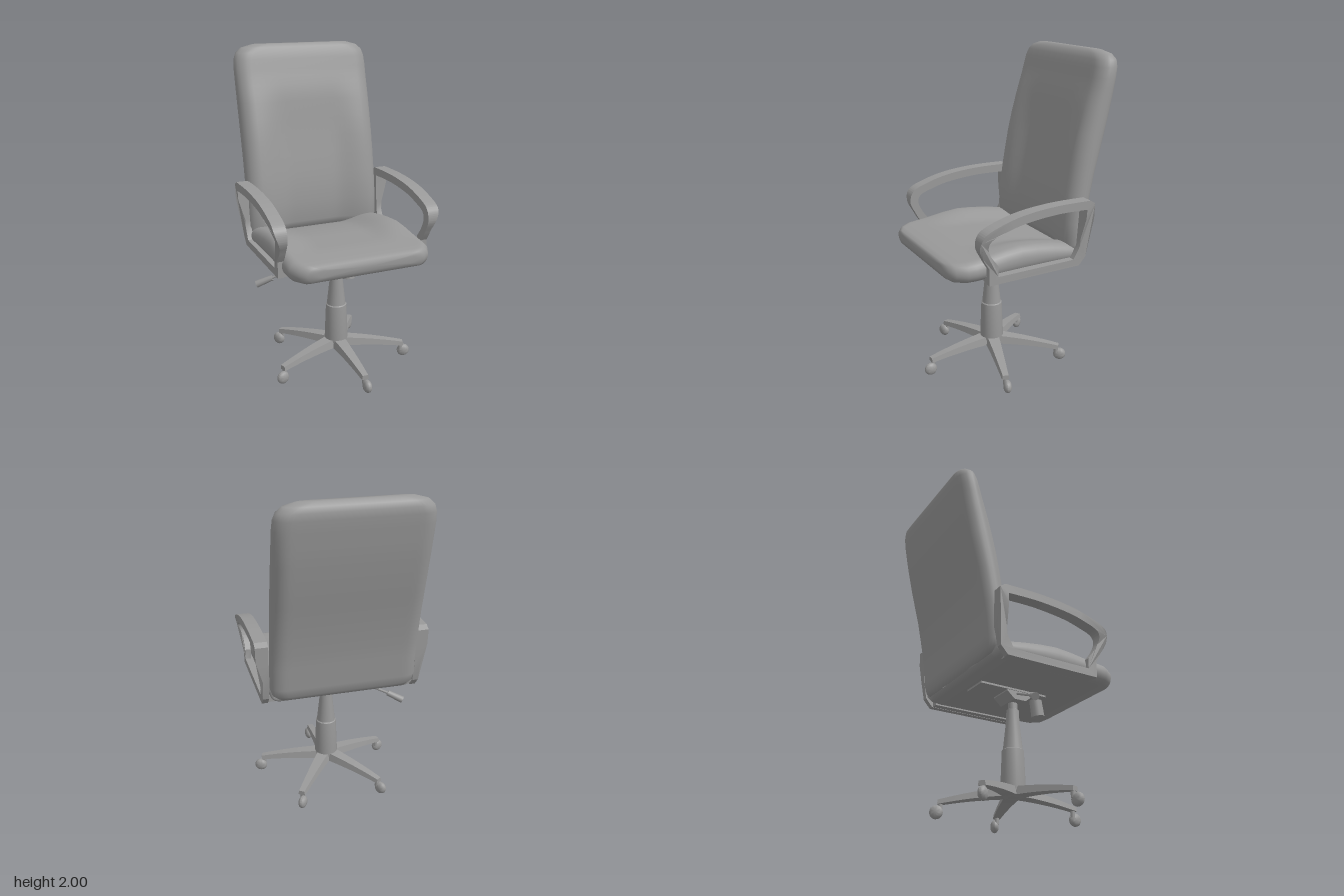
import * as THREE from 'three';
import { toCreasedNormals } from 'three/addons/utils/BufferGeometryUtils.js';

const material = new THREE.MeshStandardMaterial({ color: 0x999999, side: THREE.DoubleSide });

function add(parent, name, geometry) {
  const mesh = new THREE.Mesh(geometry, material);
  mesh.name = name;
  parent.add(mesh);
  return mesh;
}

const lathe = (points, sides = 24) =>
  toCreasedNormals(new THREE.LatheGeometry(points.map(([r, y]) => new THREE.Vector2(r, y)), sides), 0.6);

// Cylinder running from point a to point b
function rod(parent, name, a, b, ra, rb, sides = 16) {
  const from = new THREE.Vector3(...a), to = new THREE.Vector3(...b);
  const dir = to.clone().sub(from);
  const mesh = add(parent, name, new THREE.CylinderGeometry(rb, ra, dir.length(), sides));
  mesh.position.copy(from).add(to).multiplyScalar(0.5);
  mesh.quaternion.setFromUnitVectors(new THREE.Vector3(0, 1, 0), dir.normalize());
  return mesh;
}

// Padded cushion: rows are [station, low, high, halfWidth]; dish(x, station) sinks the high side
function cushion(rows, rx, dish, place) {
  const pos = [], index = [], arc = 6, flat = 24;
  for (const [t, lo, hi, w] of rows) {
    const mid = (lo + hi) / 2, h = (hi - lo) / 2, inner = w - rx;
    const put = (x, d) => pos.push(...place(x, d, t));
    const high = (x, d) => put(x, d - dish(x, t));
    for (let i = 0; i < arc; i++) {
      const a = (i / arc) * Math.PI / 2;
      put(inner + rx * Math.cos(a), mid + h * Math.sin(a));
    }
    for (let i = 0; i <= flat; i++) high(inner * (1 - 2 * i / flat), hi);
    for (let i = 1; i < 2 * arc; i++) {
      const a = Math.PI / 2 + (i / arc) * Math.PI / 2;
      put(-inner + rx * Math.cos(a), mid + h * Math.sin(a));
    }
    for (let i = 0; i <= flat; i++) put(inner * (2 * i / flat - 1), lo);
    for (let i = 1; i < arc; i++) {
      const a = Math.PI * 1.5 + (i / arc) * Math.PI / 2;
      put(inner + rx * Math.cos(a), mid + h * Math.sin(a));
    }
  }
  const n = pos.length / 3 / rows.length, last = (rows.length - 1) * n;
  for (let r = 0; r < rows.length - 1; r++)
    for (let j = 0; j < n; j++) {
      const a = r * n + j, b = r * n + (j + 1) % n;
      index.push(a, a + n, b, b, a + n, b + n);
    }
  // End caps
  const c = rows.length * n;
  for (const [t, lo, hi] of [rows[0], rows[rows.length - 1]]) pos.push(...place(0, (lo + hi) / 2, t));
  for (let j = 0; j < n; j++) {
    const k = (j + 1) % n;
    index.push(c, j, k, c + 1, last + k, last + j);
  }
  const g = new THREE.BufferGeometry();
  g.setAttribute('position', new THREE.Float32BufferAttribute(pos, 3));
  g.setIndex(index);
  g.computeVertexNormals();
  return g;
}

const step = THREE.MathUtils.smoothstep;

// Looped armrest cut from a side profile; its outer face tapers in towards the bottom
function armGeometry(side) {
  const v = (pts) => pts.map(([z, y]) => new THREE.Vector2(z, y));
  const s = new THREE.Shape();
  s.moveTo(-0.26, 0.76);
  s.lineTo(0.35, 0.76);
  s.lineTo(0.35, 0.86);
  s.splineThru(v([[0.385, 0.92], [0.42, 1.0], [0.395, 1.075], [0.297, 1.12], [0.14, 1.158], [-0.07, 1.175], [-0.3, 1.172]]));
  s.lineTo(-0.332, 1.15);
  s.lineTo(-0.33, 1.06);
  s.lineTo(-0.328, 0.93);
  s.lineTo(-0.305, 0.81);
  const hole = new THREE.Path();
  hole.moveTo(-0.22, 0.805);
  hole.lineTo(-0.262, 0.88);
  hole.lineTo(-0.266, 0.93);
  hole.lineTo(-0.275, 1.06);
  hole.lineTo(-0.278, 1.12);
  hole.splineThru(v([[-0.07, 1.125], [0.14, 1.107], [0.27, 1.075], [0.345, 1.045], [0.365, 1.0], [0.34, 0.935], [0.292, 0.87]]));
  hole.lineTo(0.292, 0.805);
  s.holes.push(hole);
  const g = new THREE.ExtrudeGeometry(s, { depth: 1, bevelEnabled: false, curveSegments: 28 });
  g.rotateY(-Math.PI / 2).translate(0.5, 0, 0);
  const p = g.attributes.position;
  for (let i = 0; i < p.count; i++) {
    const outer = p.getX(i) * side > 0;
    p.setX(i, side * (outer ? 0.485 + 0.04 * step(p.getY(i), 0.92, 1.08) : 0.448));
  }
  return toCreasedNormals(g, 0.5);
}

// Tapered, gently arched leg pointing along +z
function legGeometry() {
  const g = new THREE.BoxGeometry(1, 1, 1, 1, 1, 8);
  const p = g.attributes.position;
  for (let i = 0; i < p.count; i++) {
    const t = p.getZ(i) + 0.5, up = p.getY(i) > 0;
    const y = up ? 0.175 - 0.03 * t - 0.033 * t * t : 0.12 - 0.035 * t * t;
    p.setXYZ(i, p.getX(i) * (0.1 - 0.055 * t) * (up ? 0.8 : 1), y, 0.44 * t);
  }
  return toCreasedNormals(g, 0.5);
}

export function createModel() {
  const chair = new THREE.Group();
  chair.name = 'officeChair';

  // Seat cushion, front to back
  add(chair, 'seat', cushion([
    [0.55, 0.808, 0.855, 0.31], [0.54, 0.783, 0.871, 0.37], [0.51, 0.769, 0.88, 0.41], [0.45, 0.765, 0.886, 0.445],
    [0.4, 0.765, 0.89, 0.45], [0.35, 0.765, 0.895, 0.45], [0.28, 0.765, 0.905, 0.45], [0.2, 0.765, 0.917, 0.45],
    [0.1, 0.765, 0.925, 0.45], [0, 0.765, 0.917, 0.45], [-0.12, 0.765, 0.9, 0.45], [-0.22, 0.765, 0.88, 0.45],
    [-0.28, 0.77, 0.865, 0.445], [-0.31, 0.79, 0.84, 0.43],
  ], 0.06,
  (x, z) => 0.04 * (1 - step(Math.abs(x), 0.18, 0.36)) * (1 - step(z, 0.12, 0.38)),
  (x, d, t) => [x - 0.01, d, t]));

  // Backrest cushion, bottom to top
  add(chair, 'backrest', cushion([
    [0.795, -0.32, -0.28, 0.4], [0.82, -0.342, -0.24, 0.435], [0.87, -0.354, -0.22, 0.45], [1.0, -0.367, -0.22, 0.45],
    [1.1, -0.384, -0.23, 0.45], [1.18, -0.4, -0.24, 0.45], [1.3, -0.425, -0.26, 0.45], [1.42, -0.457, -0.282, 0.45],
    [1.53, -0.485, -0.308, 0.45], [1.65, -0.512, -0.342, 0.45], [1.7, -0.522, -0.358, 0.45], [1.75, -0.532, -0.374, 0.45],
    [1.8, -0.54, -0.391, 0.45], [1.85, -0.549, -0.405, 0.45], [1.91, -0.558, -0.421, 0.445], [1.95, -0.56, -0.433, 0.43],
    [1.98, -0.547, -0.448, 0.395], [2.0, -0.515, -0.472, 0.32],
  ], 0.09,
  (x, y) => 0.04 * (1 - step(Math.abs(x), 0.15, 0.36)) * (1 - step(y, 1.4, 1.8)),
  (x, d, t) => [x - 0.01, t, d]));

  // Armrests with the brackets that tuck under the seat
  for (const [name, side] of [['left', 1], ['right', -1]]) {
    add(chair, name + 'Armrest', armGeometry(side));
    add(chair, name + 'ArmBracket', new THREE.BoxGeometry(0.06, 0.04, 0.6)).position.set(side * 0.435, 0.782, 0.045);
  }

  // Tilt mechanism under the seat
  const mechanism = new THREE.Group();
  mechanism.name = 'tiltMechanism';
  chair.add(mechanism);
  add(mechanism, 'mountingPlate', new THREE.BoxGeometry(0.17, 0.014, 0.46)).position.set(0, 0.76, 0.03);
  const profile = new THREE.Shape([[0.165, 0.77], [-0.015, 0.77], [-0.015, 0.745], [0.035, 0.7], [0.115, 0.7], [0.165, 0.74]]
    .map(([z, y]) => new THREE.Vector2(z, y)));
  add(mechanism, 'housing', new THREE.ExtrudeGeometry(profile, { depth: 0.16, bevelEnabled: false })
    .rotateY(-Math.PI / 2).translate(0.08, 0, 0));
  rod(mechanism, 'tensionKnob', [0, 0.765, 0.238], [0, 0.65, 0.256], 0.038, 0.041, 10);
  rod(mechanism, 'leverRod', [-0.04, 0.755, 0.07], [-0.41, 0.59, -0.05], 0.008, 0.008, 8);
  rod(mechanism, 'leverHandle', [-0.39, 0.599, -0.043], [-0.48, 0.555, -0.083], 0.018, 0.023, 10);

  // Five-star base with column and casters
  const base = new THREE.Group();
  base.name = 'base';
  base.position.set(0, 0, 0.07);
  chair.add(base);
  add(base, 'column', lathe([[0, 0.115], [0.07, 0.12], [0.075, 0.17], [0.066, 0.4], [0.06, 0.405], [0.042, 0.57],
    [0.038, 0.655], [0.029, 0.66], [0.029, 0.75], [0, 0.75]]));
  const leg = legGeometry();
  const wheel = lathe([[0, -0.024], [0.022, -0.022], [0.034, -0.015], [0.04, -0.005], [0.04, 0.005], [0.034, 0.015],
    [0.022, 0.022], [0, 0.024]], 18).rotateZ(Math.PI / 2);
  for (let i = 0; i < 5; i++) {
    const spoke = new THREE.Group();
    spoke.name = 'spoke' + (i + 1);
    spoke.rotation.y = i * Math.PI * 2 / 5;
    base.add(spoke);
    add(spoke, 'leg', leg);
    rod(spoke, 'casterStem', [0, 0.05, 0.425], [0, 0.1, 0.425], 0.014, 0.014, 10);
    add(spoke, 'casterWheel', wheel).position.set(0.01, 0.04, 0.447);
  }
  return chair;
}
